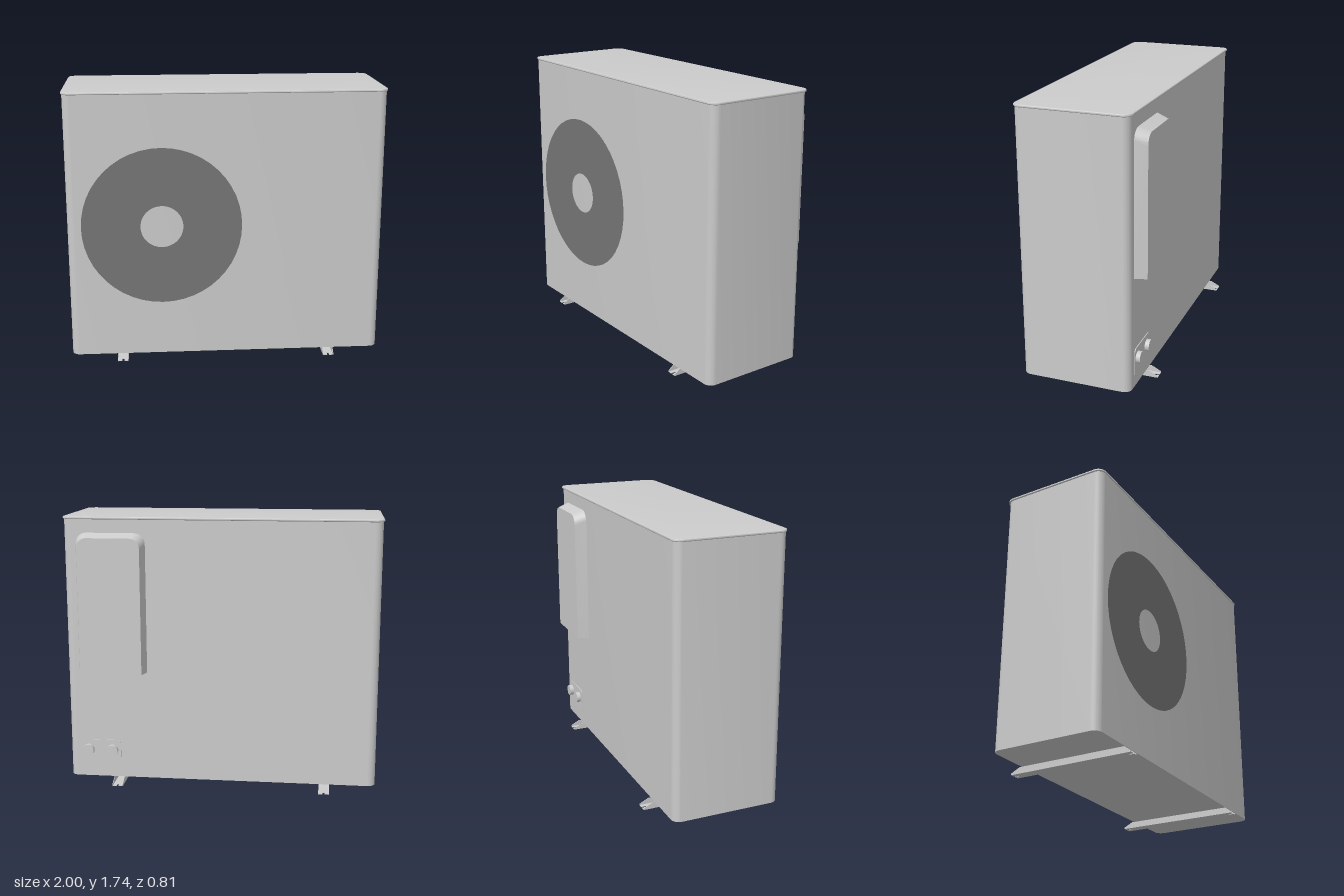
import * as THREE from 'three';
import { toCreasedNormals } from 'three/addons/utils/BufferGeometryUtils.js';

const grey = new THREE.MeshStandardMaterial({ color: 0xcccccc });
const greyThin = new THREE.MeshStandardMaterial({ color: 0xcccccc, side: THREE.DoubleSide });
const dark = new THREE.MeshStandardMaterial({ color: 0x767676, side: THREE.DoubleSide });

const BACK = -0.33, FRONT = 0.369;

function add(parent, name, geometry, material = grey) {
  const mesh = new THREE.Mesh(geometry, material);
  mesh.name = name;
  parent.add(mesh);
  return mesh;
}

// Rectangle with separate radii for the lower and upper corners
function roundedRect(x0, y0, x1, y1, low, high = low) {
  const s = new THREE.Shape();
  s.moveTo(x0 + low, y0);
  s.lineTo(x1 - low, y0);
  if (low) s.absarc(x1 - low, y0 + low, low, -Math.PI / 2, 0);
  s.lineTo(x1, y1 - high);
  s.absarc(x1 - high, y1 - high, high, 0, Math.PI / 2);
  s.lineTo(x0 + high, y1);
  s.absarc(x0 + high, y1 - high, high, Math.PI / 2, Math.PI);
  s.lineTo(x0, y0 + low);
  if (low) s.absarc(x0 + low, y0 + low, low, Math.PI, Math.PI * 1.5);
  return s;
}

// Plan outline extruded upward from height y; the shape's y becomes -z
function slab(shape, y, depth, bevel = 0) {
  const g = new THREE.ExtrudeGeometry(shape, {
    depth: depth - 2 * bevel, curveSegments: 8, bevelEnabled: bevel > 0,
    bevelThickness: bevel, bevelSize: bevel, bevelOffset: -bevel, bevelSegments: 4,
  });
  g.rotateX(-Math.PI / 2).translate(0, y + bevel, 0);
  return toCreasedNormals(g, 0.7);
}

// Rear cover: rounded top corners, tapering outward except at the flat bottom
function coverGeometry() {
  const x0 = 0.473, x1 = 0.914, y0 = 0.75, y1 = 1.64, depth = 0.075;
  const g = new THREE.ExtrudeGeometry(roundedRect(x0, y0, x1, y1, 0, 0.07), {
    depth, curveSegments: 8, bevelEnabled: false,
  });
  g.translate(0, 0, BACK - depth);
  const p = g.attributes.position, cx = (x0 + x1) / 2;
  for (let i = 0; i < p.count; i++) {
    if (p.getZ(i) > BACK - depth / 2) continue;
    p.setX(i, cx + (p.getX(i) - cx) * 0.9);
    p.setY(i, y0 + (p.getY(i) - y0) * 0.971);
  }
  return toCreasedNormals(g, 0.5);
}

// Open channel under the cabinet with slanted side walls and slotted ends
function makeFoot(name, x) {
  const foot = new THREE.Group();
  foot.name = name;
  const w = 0.034, e = 0.405, slot = 0.006, inner = 0.375, t = 0.003;
  const base = new THREE.Shape([
    [-w, -e], [-slot, -e], [-slot, -inner], [slot, -inner], [slot, -e], [w, -e],
    [w, e], [slot, e], [slot, inner], [-slot, inner], [-slot, e], [-w, e],
  ].map(([a, b]) => new THREE.Vector2(a, b)));
  add(foot, 'footBase', slab(base, 0, t), greyThin);

  const side = new THREE.Shape([
    [-e, 0], [e, 0], [e, 0.01], [0.345, 0.04], [-0.365, 0.04], [-e, 0.01],
  ].map(([a, b]) => new THREE.Vector2(a, b)));
  for (const sx of [-w, w - t]) {
    const g = new THREE.ExtrudeGeometry(side, { depth: t, bevelEnabled: false });
    g.rotateY(Math.PI / 2);
    add(foot, 'footWall', g, greyThin).position.x = sx;
  }
  foot.position.x = x;
  return foot;
}

export function createModel() {
  const model = new THREE.Group();
  model.name = 'outdoorHeatPump';

  // Cabinet and overhanging lid
  add(model, 'cabinet', slab(roundedRect(-0.993, -FRONT, 0.993, -BACK, 0.05), 0.04, 1.688));
  add(model, 'lid', slab(roundedRect(-1, -0.375, 1, 0.34, 0.056), 1.724, 0.016, 0.006));

  // Fan grille ring on the front; its open centre shows the cabinet
  const ring = add(model, 'fanGrille', new THREE.RingGeometry(0.134, 0.503, 48), dark);
  ring.position.set(-0.403, 0.892, FRONT + 0.002);

  // Rear cover
  add(model, 'rearCover', coverGeometry());

  // Valve plate and two pipe connectors
  const plate = new THREE.ExtrudeGeometry(roundedRect(0.655, 0.12, 0.91, 0.29, 0, 0.025), {
    depth: 0.006, bevelEnabled: false,
  });
  add(model, 'valvePlate', plate).position.z = BACK - 0.005;
  for (const x of [0.71, 0.868]) {
    const pipe = add(model, 'pipeConnector', new THREE.CylinderGeometry(0.037, 0.037, 0.032, 24));
    pipe.rotation.x = Math.PI / 2;
    pipe.position.set(x, 0.222, BACK - 0.016);
  }

  // Feet
  model.add(makeFoot('rightFoot', -0.668), makeFoot('leftFoot', 0.668));
  return model;
}
